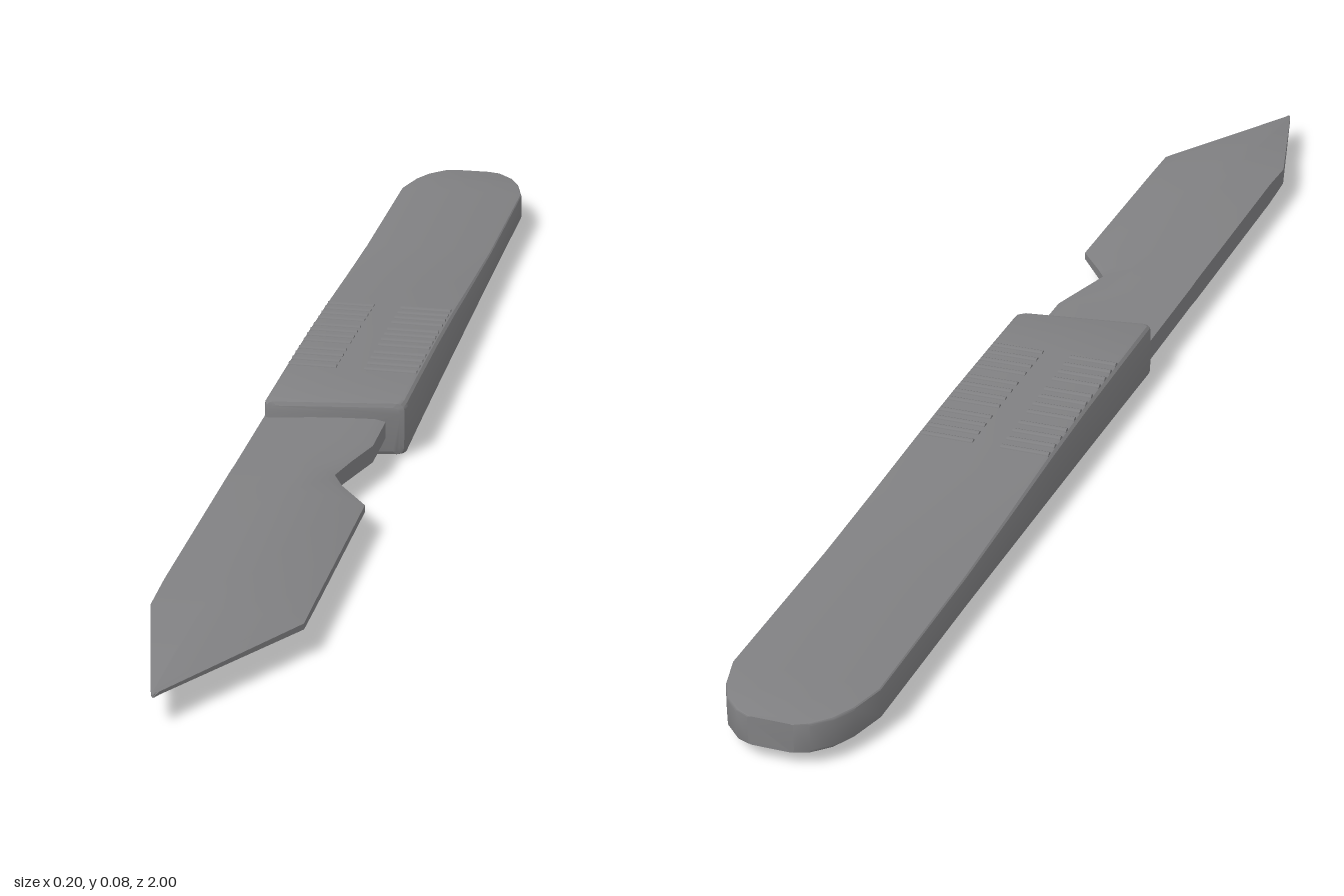
import * as THREE from 'three';
import { toCreasedNormals } from 'three/addons/utils/BufferGeometryUtils.js';

// Skin a list of equal-length rings (counterclockwise seen from +z, ordered towards +z) and cap both ends.
function loft(rings) {
  const n = rings[0].length;
  const index = [];
  for (let s = 0; s < rings.length - 1; s++) {
    for (let i = 0; i < n; i++) {
      const j = (i + 1) % n;
      const a = s * n + i, b = s * n + j, c = b + n, d = a + n;
      index.push(a, b, c, a, c, d);
    }
  }
  const last = (rings.length - 1) * n;
  for (let i = 1; i < n - 1; i++) {
    index.push(0, i + 1, i);
    index.push(last, last + i, last + i + 1);
  }
  const geometry = new THREE.BufferGeometry();
  geometry.setAttribute('position', new THREE.Float32BufferAttribute(rings.flat(2), 3));
  geometry.setIndex(index);
  return toCreasedNormals(geometry, 0.5);
}

// Rounded rectangle; slant pushes the ring back towards +x.
function handleRing([z, w, y0, y1, r, slant]) {
  const ring = [];
  const corners = [[w - r, y1 - r], [-w + r, y1 - r], [-w + r, y0 + r], [w - r, y0 + r]];
  corners.forEach(([cx, cy], q) => {
    for (let k = 0; k <= 3; k++) {
      const a = (q + k / 3) * Math.PI / 2;
      const x = cx + r * Math.cos(a);
      ring.push([x, cy + r * Math.sin(a), z - slant * x]);
    }
  });
  return ring;
}

// Blade section mirrored about its mid plane: spine, flat ridge, bevel, cutting edge.
function bladeRing([z, xl, xr, ra, rb, xm, spine, ridge, bevel, edge]) {
  const half = [[xr, edge], [xm, bevel], [rb, ridge], [ra, ridge], [xl, spine]];
  const top = half.map(([x, t]) => [x, 0.04 + t, z]);
  const bottom = half.map(([x, t]) => [x, 0.04 - t, z]).reverse();
  return [...top, ...bottom];
}

export function createModel() {
  const group = new THREE.Group();
  const steel = new THREE.MeshStandardMaterial({ color: 0x808082 });
  steel.name = 'steel grey';
  const add = (geometry, name) => {
    const mesh = new THREE.Mesh(geometry, steel);
    mesh.name = name;
    group.add(mesh);
    return mesh;
  };

  // Handle: thin rounded tail swelling to a thick slanted collar
  add(loft([
    [-1.0, 0.03, 0.02, 0.06, 0.004, 0],
    [-0.992, 0.048, 0.019, 0.061, 0.004, 0],
    [-0.97, 0.07, 0.019, 0.061, 0.004, 0],
    [-0.94, 0.085, 0.019, 0.061, 0.004, 0],
    [-0.89, 0.098, 0.019, 0.061, 0.004, 0],
    [-0.6, 0.098, 0.017, 0.062, 0.005, 0],
    [-0.45, 0.098, 0.013, 0.068, 0.007, 0],
    [-0.28, 0.098, 0.009, 0.076, 0.009, 0],
    [-0.15, 0.098, 0.006, 0.08, 0.01, 0],
    [0.0, 0.098, 0.003, 0.081, 0.01, 0],
    [0.107, 0.098, 0.0, 0.081, 0.01, 0.15],
    [0.117, 0.095, 0.003, 0.078, 0.01, 0.15],
    [0.12, 0.09, 0.008, 0.073, 0.01, 0.15],
  ].map(handleRing)), 'handle');

  // Grip ribs: three groups of four, on both sides of a smooth centre strip
  const rib = new THREE.CylinderGeometry(0.0055, 0.0055, 1, 8).rotateZ(Math.PI / 2);
  for (let g = 0; g < 3; g++) {
    for (let k = 0; k < 4; k++) {
      const z = -0.283 + g * 0.101 + k * 0.023;
      const y = z < -0.15 ? 0.08 + (z + 0.15) * 0.031 : 0.08 + (z + 0.15) * 0.007;
      for (const [x0, x1] of [[-0.093, -0.024], [0.016, 0.091]]) {
        const mesh = add(rib, 'gripRib');
        mesh.position.set((x0 + x1) / 2, y - 0.002, z);
        mesh.scale.x = x1 - x0;
      }
    }
  }

  // Blade: narrow tang, notched shoulder, ridged body and off-centre point
  add(loft([
    [0.08, -0.097, 0.07, -0.03, 0.01, 0.055, 0.015, 0.017, 0.016, 0.012],
    [0.2, -0.097, 0.07, -0.03, 0.01, 0.055, 0.015, 0.017, 0.016, 0.012],
    [0.26, -0.097, 0.053, -0.03, 0.005, 0.04, 0.015, 0.018, 0.016, 0.012],
    [0.31, -0.097, 0.04, -0.03, 0.0, 0.025, 0.015, 0.02, 0.017, 0.011],
    [0.335, -0.097, 0.055, -0.03, 0.0, 0.035, 0.016, 0.02, 0.014, 0.007],
    [0.39, -0.097, 0.097, -0.03, 0.0, 0.075, 0.016, 0.02, 0.011, 0.005],
    [0.7, -0.097, 0.097, -0.03, 0.0, 0.075, 0.016, 0.02, 0.011, 0.005],
    [0.77, -0.097, 0.097, -0.03, -0.005, 0.07, 0.012, 0.017, 0.009, 0.004],
    [0.99, -0.041, -0.031, -0.037, -0.036, -0.033, 0.003, 0.004, 0.003, 0.002],
    [1.0, -0.037, -0.034, -0.036, -0.0355, -0.035, 0.001, 0.002, 0.001, 0.001],
  ].map(bladeRing)), 'blade');

  return group;
}
